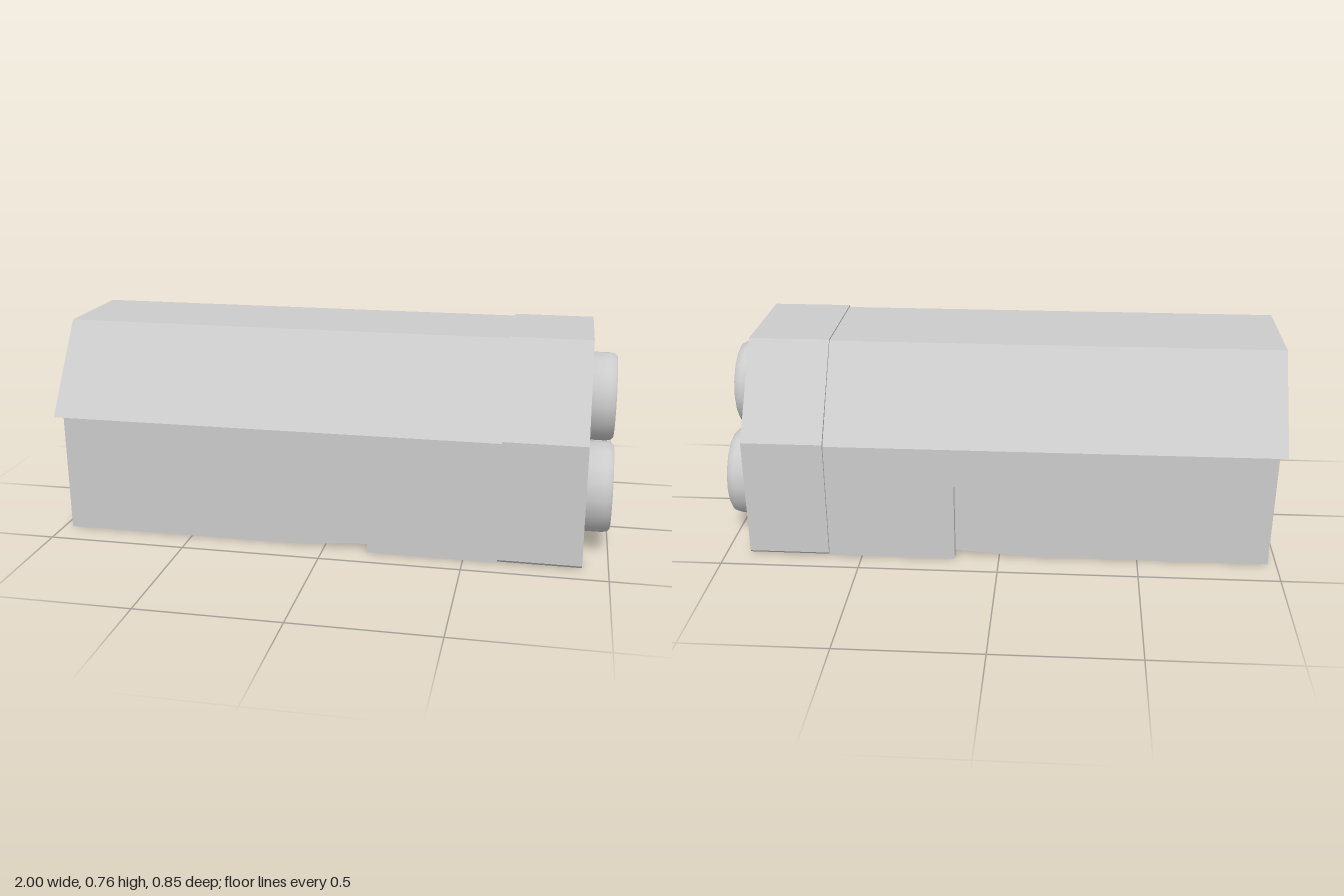
import * as THREE from 'three';
import { toCreasedNormals } from 'three/addons/utils/BufferGeometryUtils.js';

const material = new THREE.MeshStandardMaterial({ color: 0xcccccc });

function part(name, geometry, parent) {
  const mesh = new THREE.Mesh(geometry, material);
  mesh.name = name;
  parent.add(mesh);
  return mesh;
}

const shapeOf = (pts) => new THREE.Shape(pts.map(([a, b]) => new THREE.Vector2(a, b)));

// Half outline (z, y) from foot to ridge, mirrored into a full outline.
const mirrored = (half) => [...half, ...half.map(([z, y]) => [-z, y]).reverse()];

// Extrudes a (z, y) outline along x.
function prism(outline, x0, x1, steps = 1) {
  const g = new THREE.ExtrudeGeometry(shapeOf(outline), { depth: x1 - x0, steps, bevelEnabled: false });
  return g.rotateY(Math.PI / 2).translate(x0, 0, 0);
}

// Open arch between an outer and an inner half outline.
const arch = (outer, inner, x0, x1) => prism([...mirrored(outer), ...mirrored(inner).reverse()], x0, x1);

export function createModel() {
  const model = new THREE.Group();
  model.name = 'engineBlock';

  // Inner body: its floor rises gently from x = -0.12 to the engine bulkhead
  const x0 = -0.97, x1 = 0.64;
  const body = prism(mirrored([[0.385, 0], [0.385, 0.432], [0.18, 0.725]]), x0, x1, 2);
  const p = body.attributes.position;
  for (let i = 0; i < p.count; i++) {
    const x = p.getX(i), y = p.getY(i);
    if (x > x1 - 0.01) { if (y < 0.01) p.setY(i, 0.055); }
    else if (x > x0 + 0.01) p.setX(i, -0.12);
    else if (y > 0.01) p.setX(i, x0 - 0.006);
  }
  body.computeVertexNormals();
  part('innerBody', body, model);

  // Roof shell overhanging the body
  part('roofShell', arch(
    [[0.415, 0.435], [0.195, 0.752]],
    [[0.385, 0.432], [0.18, 0.725]], -1, 0.62), model);

  // Side plates with a stepped lower edge
  const side = shapeOf([[-0.22, 0.435], [0.16, 0.29], [0.16, 0], [0.62, 0], [0.62, 0.435]]);
  for (const s of [1, -1]) {
    const plate = new THREE.ExtrudeGeometry(side, { depth: 0.03, bevelEnabled: false });
    plate.translate(0, 0, s > 0 ? 0.385 : -0.415);
    part(s > 0 ? 'frontSidePlate' : 'backSidePlate', plate, model);
  }

  // Thick collar around the engines, open below
  part('engineCollar', arch(
    [[0.417, 0.005], [0.425, 0.014], [0.425, 0.445], [0.2, 0.758]],
    [[0.37, 0.005], [0.37, 0.41], [0.165, 0.68]], 0.62, 0.91), model);

  // Three nozzles, each a rounded bell with a central plug
  const profile = [
    [0.15, 0.63], [0.15, 0.87], [0.162, 0.885], [0.162, 0.975], [0.158, 0.992], [0.15, 1],
    [0.143, 0.994], [0.14, 0.98], [0.13, 0.93], [0.105, 0.89], [0.064, 0.87],
    [0.064, 0.925], [0.057, 0.942], [0.035, 0.952], [0, 0.952],
  ].map(([r, x]) => new THREE.Vector2(r, x));
  const bell = toCreasedNormals(new THREE.LatheGeometry(profile, 16).rotateZ(-Math.PI / 2), 0.85);
  [[0.507, 0, 'upperNozzle'], [0.227, 0.191, 'frontNozzle'], [0.227, -0.191, 'backNozzle']]
    .forEach(([y, z, name]) => part(name, bell, model).position.set(0, y, z));

  return model;
}
